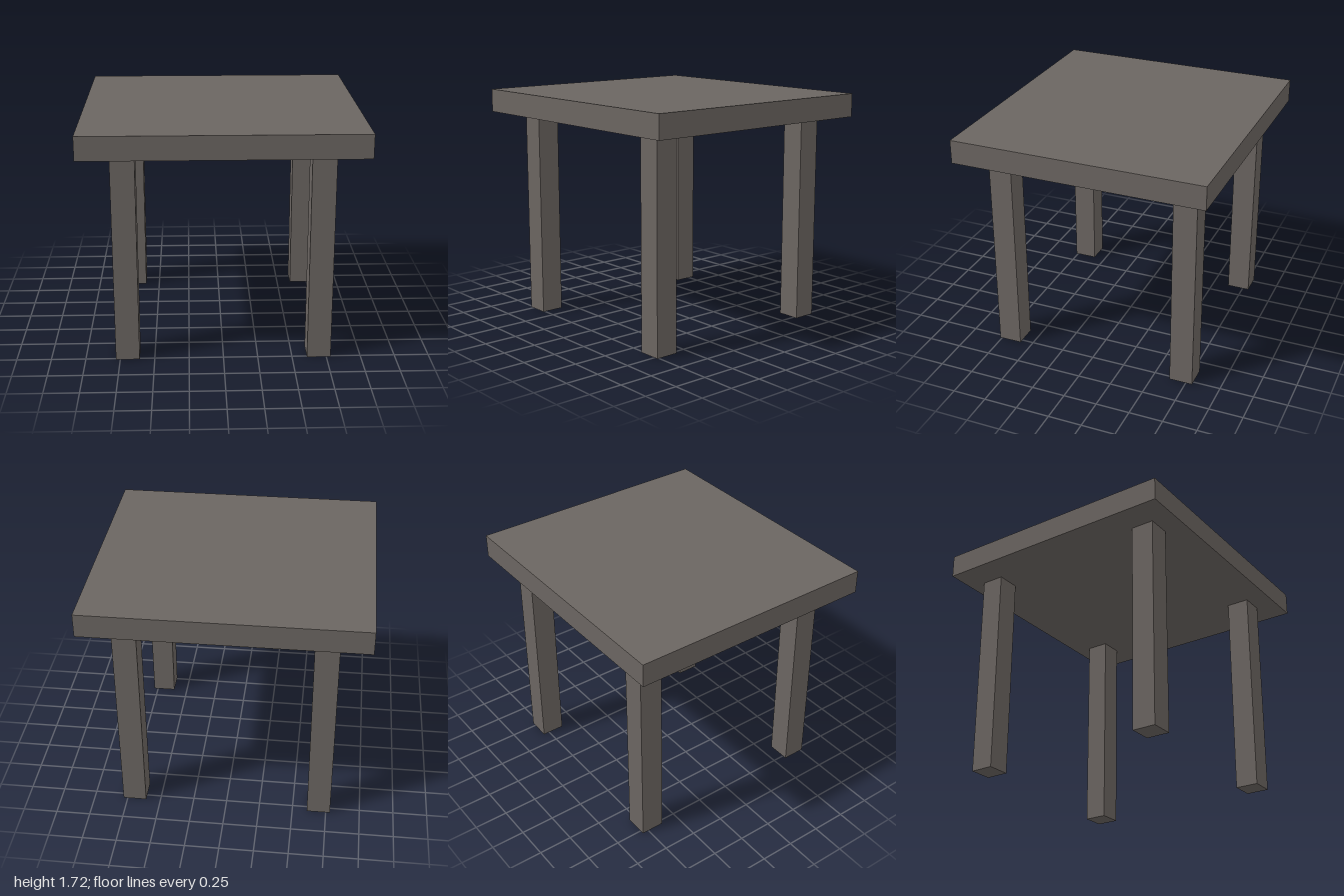
import * as THREE from 'three';

export function createModel() {
  const table = new THREE.Group();
  table.name = 'table';

  const wood = new THREE.MeshStandardMaterial({ color: 0x6b6561 });
  wood.name = 'greyBrownWood';

  const addBox = (name, width, height, depth, x, y, z) => {
    const mesh = new THREE.Mesh(new THREE.BoxGeometry(width, height, depth), wood);
    mesh.name = name;
    mesh.position.set(x, y, z);
    table.add(mesh);
  };

  const legHeight = 1.55;
  const topThickness = 0.172;
  const legWidth = 0.172;

  // Table top
  addBox('tableTop', 2, topThickness, 1.856, 0, legHeight + topThickness / 2, 0);

  // Four square legs, set slightly towards the back
  for (const [end, z] of [['front', 0.678], ['back', -0.711]]) {
    for (const [side, x] of [['Left', 0.695], ['Right', -0.695]]) {
      addBox(`${end}${side}Leg`, legWidth, legHeight, legWidth, x, legHeight / 2, z);
    }
  }

  return table;
}
